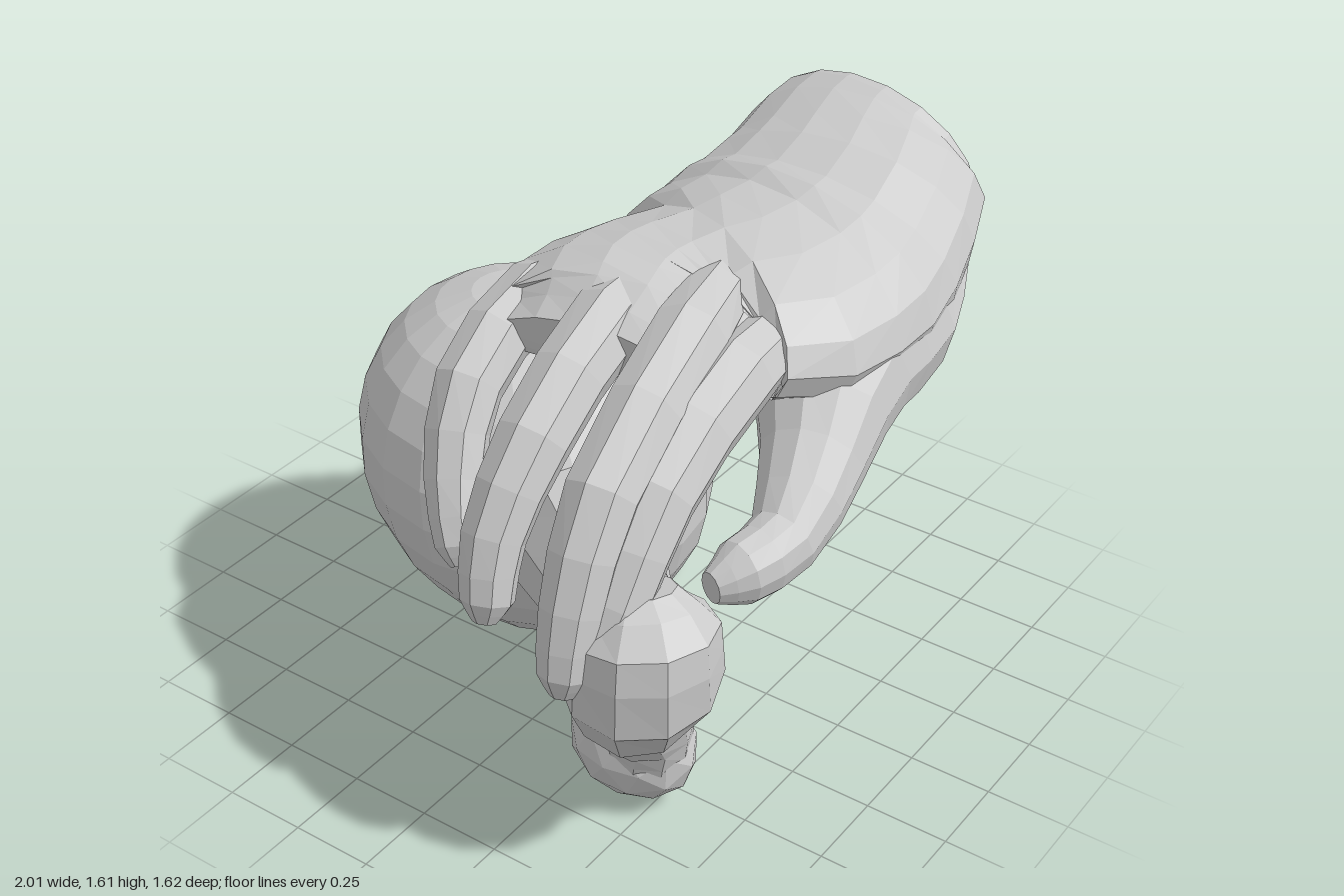
import * as THREE from 'three';

const material = new THREE.MeshStandardMaterial({ color: 0xcccccc, flatShading: true });

// Faceted limb lofted along sections [x, y, z, radius across, radius up, droop of the sides].
function limb(name, sections, sides = 10) {
  const curve = new THREE.CatmullRomCurve3(sections.map(s => new THREE.Vector3(s[0], s[1], s[2])));
  const steps = (sections.length - 1) * 2;
  const pos = [], index = [];
  for (let i = 0; i <= steps; i++) {
    const t = i / steps;
    const k = Math.min(Math.floor(i / 2), sections.length - 2), f = i / 2 - k;
    const [across, up, droop] = [3, 4, 5].map(n =>
      THREE.MathUtils.lerp(sections[k][n] || 0, sections[k + 1][n] || 0, f));
    const p = curve.getPoint(t), dir = curve.getTangent(t);
    const u = new THREE.Vector3(0, 0, 1).addScaledVector(dir, -dir.z).normalize();
    const v = dir.clone().cross(u);
    for (let j = 0; j < sides; j++) {
      const a = (j / sides) * Math.PI * 2, c = Math.cos(a);
      const q = p.clone().addScaledVector(u, c * across).addScaledVector(v, Math.sin(a) * up);
      pos.push(q.x, q.y - droop * c * c, q.z);
    }
  }
  for (let i = 0; i < steps; i++) {
    for (let j = 0; j < sides; j++) {
      const a = i * sides + j, b = i * sides + (j + 1) % sides;
      index.push(a, b, a + sides, b, b + sides, a + sides);
    }
  }
  // End caps
  const last = steps * sides;
  for (let j = 1; j < sides - 1; j++) {
    index.push(0, j + 1, j, last, last + j, last + j + 1);
  }
  const geometry = new THREE.BufferGeometry();
  geometry.setAttribute('position', new THREE.Float32BufferAttribute(pos, 3));
  geometry.setIndex(index);
  geometry.computeVertexNormals();
  const mesh = new THREE.Mesh(geometry, material);
  mesh.name = name;
  return mesh;
}

// Large round body, leaning slightly toward its back end
function ball() {
  const geometry = new THREE.SphereGeometry(1, 20, 14);
  const p = geometry.attributes.position;
  for (let i = 0; i < p.count; i++) {
    const x = p.getX(i), y = p.getY(i), z = p.getZ(i);
    p.setXYZ(i, 0.53 * x - 0.025 * z, 0.52 * y, 0.54 * z - 0.08 * y);
  }
  geometry.computeVertexNormals();
  const mesh = new THREE.Mesh(geometry, material);
  mesh.position.set(-0.1, 0.65, -0.27);
  mesh.name = 'ball';
  return mesh;
}

// Finger from inside the palm to the tip: tapered and rounded off
function finger(name, joints, radius) {
  const taper = [0.8, 1.1, 1.05, 0.9, 0.75];
  const sections = joints.map((j, i) => [...j, radius * taper[i], radius * taper[i]]);
  const [a, b] = joints.slice(-2).map(j => new THREE.Vector3(...j));
  const tip = b.clone().addScaledVector(b.clone().sub(a).normalize(), radius * 0.6);
  sections.push([tip.x, tip.y, tip.z, radius * 0.35, radius * 0.35]);
  return limb(name, sections, 8);
}

export function createModel() {
  const model = new THREE.Group();
  model.name = 'handHoldingBall';

  // Hand
  const hand = new THREE.Group();
  hand.name = 'hand';
  hand.add(limb('wristAndPalm', [
    [0.935, 1.355, 0.235, 0.368, 0.258, 0],
    [0.87, 1.342, 0.228, 0.385, 0.26, 0],
    [0.68, 1.28, 0.265, 0.44, 0.28, 0],
    [0.45, 1.2, 0.26, 0.5, 0.3, 0.01],
    [0.2, 1.22, 0.21, 0.54, 0.245, 0.06],
    [0, 1.27, 0.115, 0.485, 0.175, 0.12],
    [-0.12, 1.29, 0.105, 0.465, 0.15, 0.12],
    [-0.22, 1.29, 0.14, 0.42, 0.13, 0.1],
    [-0.36, 1.26, 0.15, 0.38, 0.08, 0.06],
  ], 18));
  hand.add(limb('thumb', [
    [0.88, 1.27, 0.3, 0.2, 0.14],
    [0.68, 1.14, 0.4, 0.28, 0.2],
    [0.45, 1.09, 0.49, 0.28, 0.25],
    [0.2, 1.06, 0.55, 0.23, 0.23],
    [-0.06, 0.93, 0.65, 0.15, 0.16],
    [-0.3, 0.83, 0.71, 0.1, 0.11],
    [-0.46, 0.81, 0.68, 0.085, 0.1],
    [-0.55, 0.8, 0.65, 0.04, 0.05],
  ], 12));
  hand.add(finger('indexFinger', [
    [0.18, 1.22, 0.46], [-0.2, 1.23, 0.49], [-0.6, 1.07, 0.51], [-0.8, 0.84, 0.52], [-0.87, 0.72, 0.5],
  ], 0.105));
  hand.add(finger('middleFinger', [
    [0.15, 1.31, 0.25], [-0.25, 1.33, 0.37], [-0.73, 1.11, 0.43], [-0.89, 0.85, 0.45], [-0.94, 0.68, 0.46],
  ], 0.1));
  hand.add(finger('ringFinger', [
    [0.15, 1.31, 0.1], [-0.28, 1.31, 0.13], [-0.65, 1.13, 0.15], [-0.83, 0.92, 0.15], [-0.89, 0.76, 0.17],
  ], 0.1));
  hand.add(finger('littleFinger', [
    [0.15, 1.22, -0.1], [-0.2, 1.25, -0.18], [-0.51, 1.11, -0.18], [-0.66, 0.9, -0.12], [-0.73, 0.75, -0.05],
  ], 0.095));
  model.add(hand);

  // Held object: ball, neck, front lobe and stem with a bulb
  const held = new THREE.Group();
  held.name = 'heldObject';
  held.add(ball());
  held.add(limb('neck', [
    [-0.72, 0.62, 0.53, 0.18, 0.18],
    [-0.56, 0.63, 0.34, 0.17, 0.19],
    [-0.36, 0.64, 0.08, 0.23, 0.26],
  ], 9));
  held.add(limb('lobeAndStem', [
    [-0.72, 0.86, 0.54, 0.1, 0.1],
    [-0.74, 0.76, 0.56, 0.21, 0.21],
    [-0.74, 0.6, 0.56, 0.22, 0.23],
    [-0.66, 0.42, 0.5, 0.14, 0.17],
    [-0.59, 0.29, 0.48, 0.13, 0.13],
    [-0.57, 0.15, 0.45, 0.13, 0.12],
  ]));
  const bulb = new THREE.Mesh(new THREE.IcosahedronGeometry(1, 1), material);
  bulb.name = 'bulb';
  bulb.scale.set(0.15, 0.17, 0.2);
  bulb.position.set(-0.56, 0.17, 0.41);
  held.add(bulb);
  model.add(held);
  return model;
}
